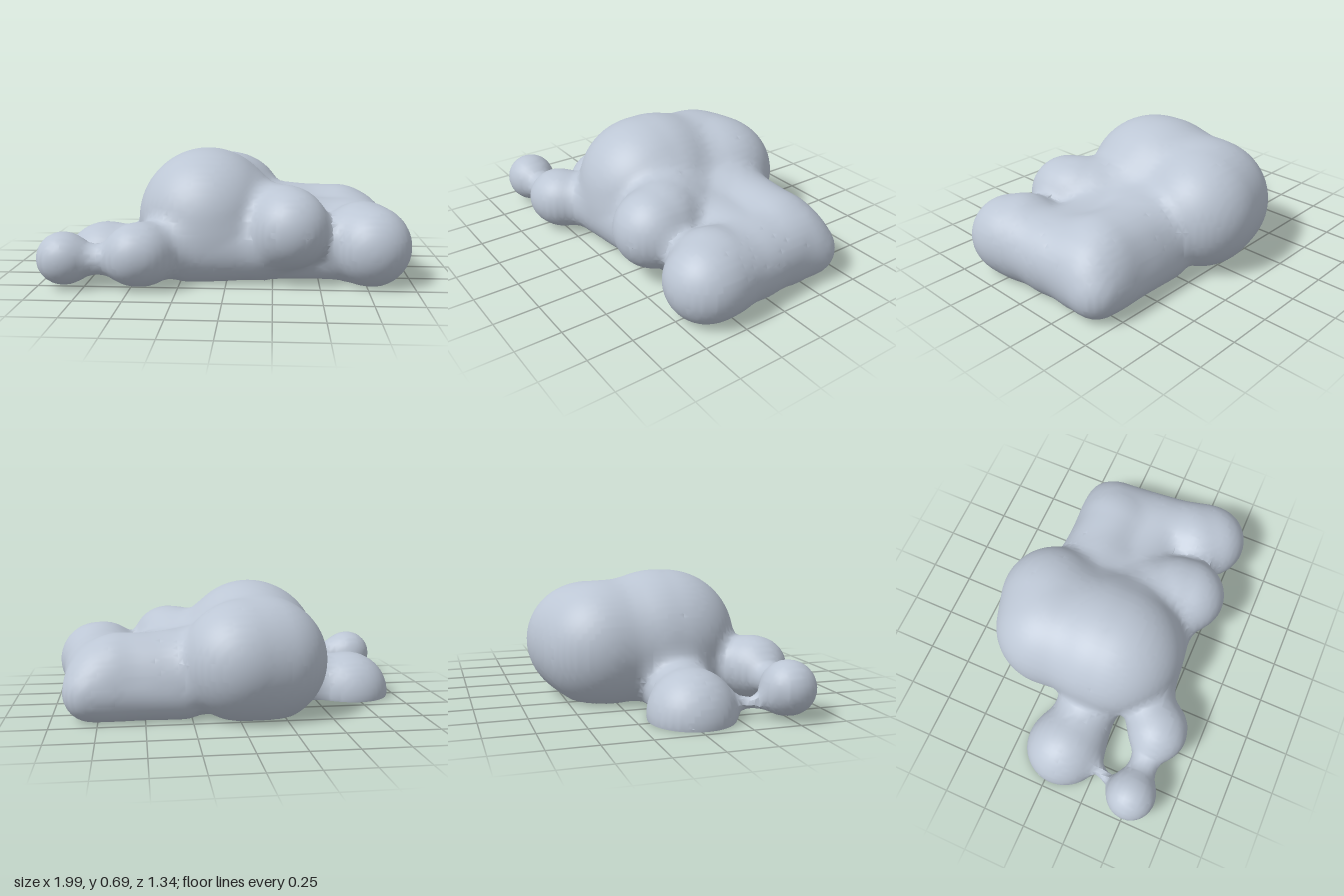
import * as THREE from 'three';
import { toCreasedNormals } from 'three/addons/utils/BufferGeometryUtils.js';

// Puffs are capsules: start, end, radius
const bodyPuffs = [
  [[-0.125, 0.305, 0.04], [-0.125, 0.305, 0.1], 0.385],   // tall main puff
  [[-0.17, 0.29, -0.3], [-0.01, 0.3, -0.355], 0.32],      // rear puff
  [[-0.14, 0.29, -0.26], [-0.12, 0.3, 0], 0.34],          // ridge joining the two
  [[0.06, 0.3, 0.02], [0.24, 0.28, 0.16], 0.225],         // shoulder of the main puff
  [[0.08, 0.26, -0.18], [0.3, 0.22, -0.16], 0.22],        // rear shoulder
  [[-0.2, 0.17, 0.31], [0.17, 0.17, 0.29], 0.17],         // low front filler
  [[0.33, 0.3, 0.3], [0.34, 0.295, 0.355], 0.215],        // front middle puff
  [[0.73, 0.21, 0.28], [0.775, 0.2, 0.335], 0.217],       // front left puff
  [[0.72, 0.19, -0.27], [0.765, 0.19, 0.2], 0.2],         // side roll
  [[0.35, 0.22, -0.25], [0.62, 0.22, -0.23], 0.225],      // rear roll
  [[0.3, 0.13, -0.35], [0.79, 0.14, -0.36], 0.135],       // low rear edge
  [[0.25, 0.22, 0.02], [0.65, 0.19, 0.02], 0.2],          // centre filler
];
// Rolls that fill the underside
const undersidePuffs = [-0.2, 0, 0.2].map((z) => [[0.2, 0.1, z], [0.75, 0.1, z], 0.13]);
const trailingPuffs = [
  [[-0.74, 0.02, 0.03], [-0.74, 0.02, 0.03], 0.225],      // low side dome
  [[-0.68, 0.04, 0.06], [-0.45, 0.08, 0.06], 0.18],       // neck of the dome
  [[-0.47, 0.18, 0.505], [-0.45, 0.18, 0.5], 0.165],      // trailing puff
  [[-0.4, 0.17, 0.44], [-0.2, 0.18, 0.3], 0.14],          // its joint to the body
  [[-0.858, 0.155, 0.5], [-0.858, 0.155, 0.5], 0.14],     // last small puff
  [[-0.8, 0.145, 0.5], [-0.5, 0.155, 0.5], 0.075],        // neck between small puffs
  [[-0.86, 0.09, 0.42], [-0.75, 0.07, 0.2], 0.025],       // thin wisp
];
const toCapsule = ([start, end, r]) => {
  const a = new THREE.Vector3(...start);
  return { a, d: new THREE.Vector3(...end).sub(a), r };
};
const capsules = bodyPuffs.concat(undersidePuffs, trailingPuffs).map(toCapsule);

const blend = 0.09;
const tmp = new THREE.Vector3();

// Signed distance to the softly merged puffs
function field(p) {
  let result = 10;
  for (const { a, d, r } of capsules) {
    tmp.copy(p).sub(a);
    const t = THREE.MathUtils.clamp(tmp.dot(d) / (d.lengthSq() || 1), 0, 1);
    const dist = tmp.addScaledVector(d, -t).length() - r;
    const h = Math.max(blend - Math.abs(result - dist), 0) / blend;
    result = Math.min(result, dist) - h * h * blend * 0.2;
  }
  return result;
}

// Slide a point onto the surface along the field's gradient
function settle(p) {
  const e = 0.002, g = new THREE.Vector3(), q = new THREE.Vector3();
  for (let i = 0; i < 4; i++) {
    const f = field(p);
    for (let k = 0; k < 3; k++) {
      q.copy(p).setComponent(k, p.getComponent(k) + e);
      g.setComponent(k, (field(q) - f) / e);
    }
    p.addScaledVector(g, -THREE.MathUtils.clamp(f, -0.03, 0.03) / Math.max(g.lengthSq(), 0.3));
  }
}

// Mesh the merged puffs with one vertex per surface cell
function cloudGeometry() {
  const s = 0.03, min = [-1.1, -0.3, -0.8], n = [74, 36, 52];
  const stride = [1, n[0], n[0] * n[1]];
  const values = new Float32Array(n[0] * n[1] * n[2]).fill(1);
  const p = new THREE.Vector3();
  const place = (c, shift) => p.set(...c.map((v, k) => min[k] + (v + shift) * s));
  const eachCell = (visit) => {
    for (let z = 1; z < n[2] - 1; z++)
      for (let y = 1; y < n[1] - 1; y++)
        for (let x = 1; x < n[0] - 1; x++) visit([x, y, z], x + y * stride[1] + z * stride[2]);
  };
  eachCell((c, i) => { values[i] = field(place(c, 0)); });

  const positions = [], index = [], vertexOf = new Map();
  const vertex = (i) => {
    if (!vertexOf.has(i)) {
      const c = [i % n[0], Math.floor(i / stride[1]) % n[1], Math.floor(i / stride[2])];
      settle(place(c, 0.5));
      vertexOf.set(i, positions.length / 3);
      // Flat underside at ground level
      positions.push(p.x, Math.max(p.y, 0), p.z);
    }
    return vertexOf.get(i);
  };
  eachCell((c, i) => {
    for (let axis = 0; axis < 3; axis++) {
      const inside = values[i] < 0;
      if (inside === values[i + stride[axis]] < 0) continue;
      const u = stride[(axis + 1) % 3], v = stride[(axis + 2) % 3];
      const quad = [i - u - v, i - v, i, i - u].map(vertex);
      if (!inside) quad.reverse();
      index.push(quad[0], quad[1], quad[2], quad[0], quad[2], quad[3]);
    }
  });
  const geometry = new THREE.BufferGeometry();
  geometry.setAttribute('position', new THREE.Float32BufferAttribute(positions, 3));
  geometry.setIndex(index);
  return toCreasedNormals(geometry, 0.8);
}

export function createModel() {
  const group = new THREE.Group();
  group.name = 'cloud';
  const material = new THREE.MeshStandardMaterial({ color: 0xbcc6d4 });
  material.name = 'pale blue grey';
  const body = new THREE.Mesh(cloudGeometry(), material);
  body.name = 'cloudPuffs';
  group.add(body);
  return group;
}
